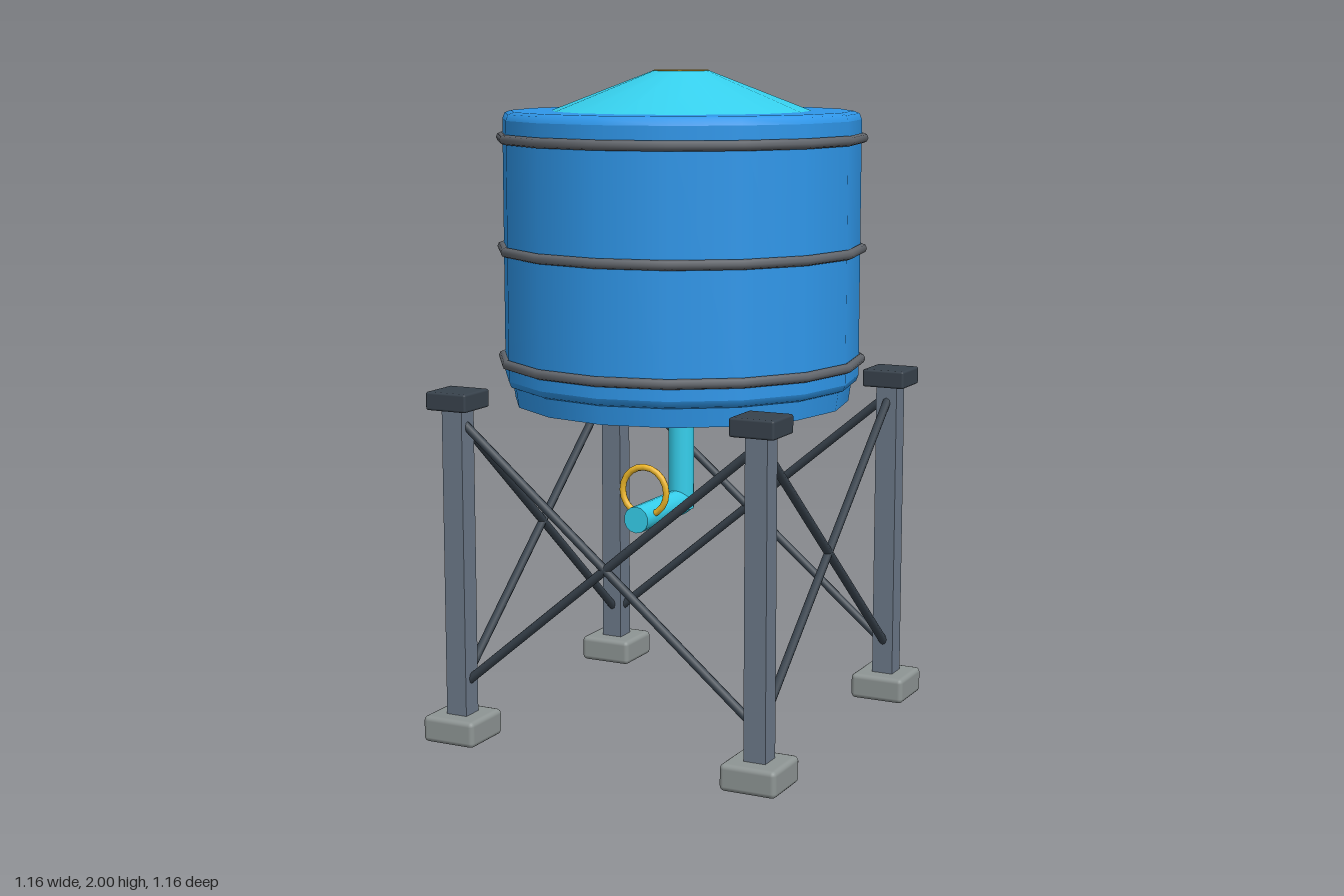
import * as THREE from 'three';
import { RoundedBoxGeometry } from 'three/addons/geometries/RoundedBoxGeometry.js';

const paint = (color) => new THREE.MeshStandardMaterial({ color });
const BLUE = paint(0x2f97ea), CYAN = paint(0x36cfec), YELLOW = paint(0xf0b92a);
const BAND = paint(0x62666c), STEEL = paint(0x6b7888), DARK = paint(0x38424c), STONE = paint(0x8e9594);
const SIDES = 16;

export function createModel() {
  const model = new THREE.Group();
  model.name = 'waterTower';

  const add = (name, geometry, material, x = 0, y = 0, z = 0, parent = model) => {
    const mesh = new THREE.Mesh(geometry, material);
    mesh.name = name;
    mesh.position.set(x, y, z);
    parent.add(mesh);
    return mesh;
  };
  // Round bar between two points
  const bar = (name, a, b, radius, material, sides = 8) => {
    const dir = b.clone().sub(a);
    const mesh = add(name, new THREE.CylinderGeometry(radius, radius, dir.length(), sides), material);
    mesh.position.copy(a).add(b).multiplyScalar(0.5);
    mesh.quaternion.setFromUnitVectors(new THREE.Vector3(0, 1, 0), dir.normalize());
    return mesh;
  };
  // Turned part; a repeated point makes a sharp edge
  const turned = (points) =>
    new THREE.LatheGeometry(points.map(([r, y]) => new THREE.Vector2(r, y)), SIDES);

  // Tank with softened rims
  add('tank', turned([
    [0, 1.06], [0.515, 1.06], [0.515, 1.06], [0.533, 1.067], [0.54, 1.085], [0.54, 1.085],
    [0.54, 1.855], [0.54, 1.855], [0.533, 1.873], [0.515, 1.88], [0.515, 1.88], [0, 1.88],
  ]), BLUE);
  add('tankFloor', new THREE.CylinderGeometry(0.52, 0.51, 0.07, SIDES), BLUE, 0, 1.04, 0);

  // Sloping roof and hatch
  add('roof', new THREE.CylinderGeometry(0.085, 0.395, 0.12, SIDES), CYAN, 0, 1.938, 0);
  add('roofHatch', new THREE.CylinderGeometry(0.085, 0.085, 0.02, SIDES), YELLOW, 0, 1.99, 0);

  // Hoops round the tank
  for (const y of [1.135, 1.47, 1.8]) {
    add('tankBand', new THREE.TorusGeometry(0.545, 0.015, 8, SIDES), BAND, 0, y, 0).rotation.x = Math.PI / 2;
  }

  // Four legs with footings and caps
  const L = 0.493;
  for (const sx of [-1, 1]) {
    for (const sz of [-1, 1]) {
      const leg = new THREE.Group();
      leg.name = 'legAssembly';
      leg.position.set(sx * L, 0, sz * L);
      model.add(leg);
      add('footing', new RoundedBoxGeometry(0.175, 0.08, 0.175, 2, 0.015), STONE, 0, 0.04, 0, leg);
      add('leg', new THREE.BoxGeometry(0.068, 0.97, 0.068), STEEL, 0, 0.545, 0, leg);
      add('legCap', new RoundedBoxGeometry(0.137, 0.055, 0.137, 2, 0.007), DARK, 0, 1.04, 0, leg);
    }
  }

  // Crossed braces on all four sides
  const B = 0.475, LOW = 0.178, HIGH = 0.972;
  for (const side of [-1, 1]) {
    for (const d of [-1, 1]) {
      bar('brace', new THREE.Vector3(-d * B, LOW, side * L), new THREE.Vector3(d * B, HIGH, side * L), 0.0135, DARK);
      bar('brace', new THREE.Vector3(side * L, LOW, -d * B), new THREE.Vector3(side * L, HIGH, d * B), 0.0135, DARK);
    }
  }

  // Outlet pipe and valve wheel
  bar('downPipe', new THREE.Vector3(0, 0.665, 0), new THREE.Vector3(0, 1.03, 0), 0.04, CYAN, 14);
  bar('spout', new THREE.Vector3(0, 0.685, 0), new THREE.Vector3(0, 0.685, 0.3), 0.04, CYAN, 14);
  add('valveWheel', new THREE.TorusGeometry(0.073, 0.01, 8, 20), YELLOW, 0, 0.762, 0.245);

  return model;
}
